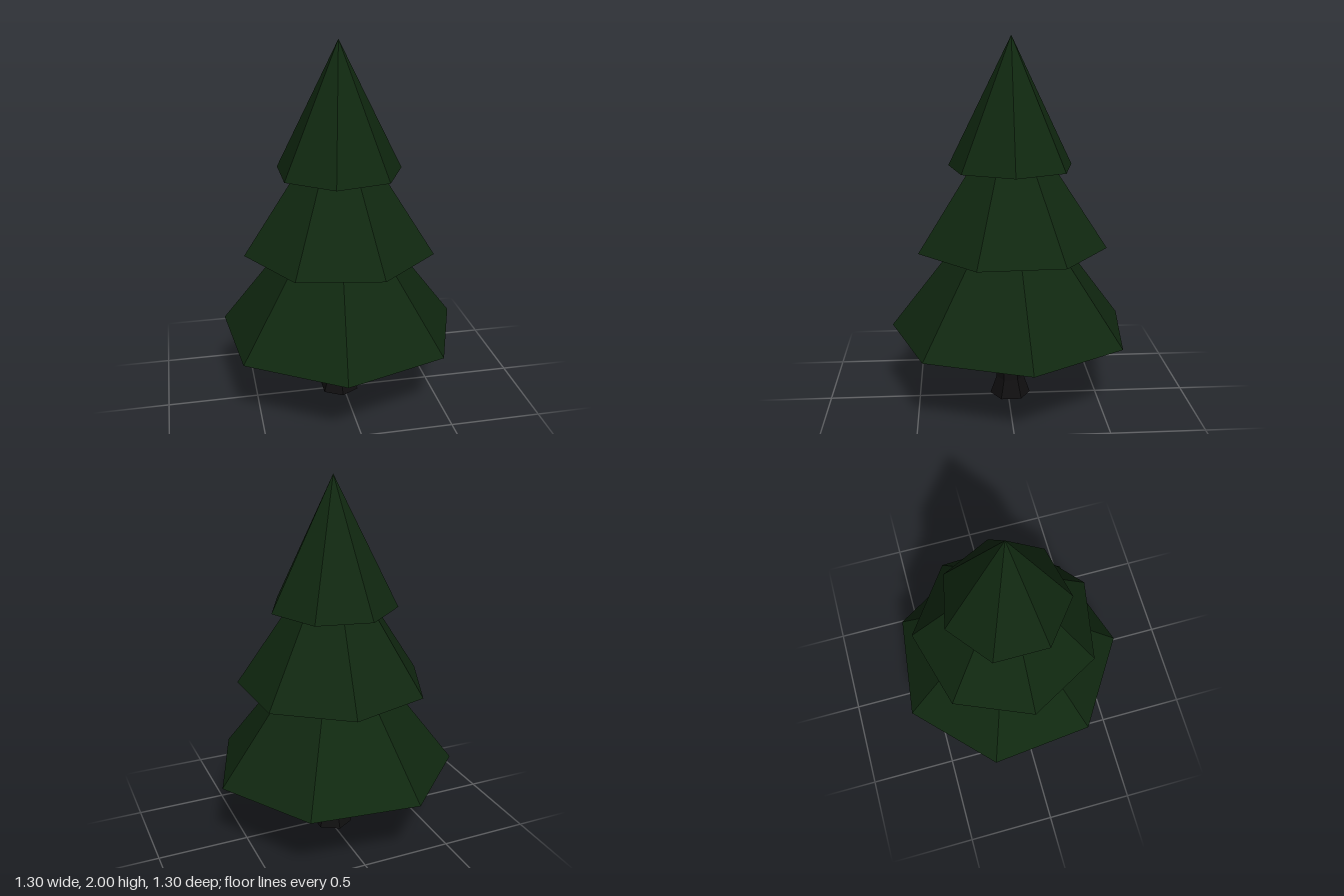
import * as THREE from 'three';

const green = new THREE.MeshStandardMaterial({ color: 0x102810, flatShading: true });
green.name = 'dark green needles';
const bark = new THREE.MeshStandardMaterial({ color: 0x100f10, flatShading: true });
bark.name = 'black bark';

// the tree's axis sits slightly off the origin
const AXIS_X = -0.02, AXIS_Z = -0.018;

// seven-sided solid cone of foliage, from its flat underside up to its tip
function tier(name, radius, bottom, tip, startDegrees) {
  const geometry = new THREE.ConeGeometry(radius, tip - bottom, 7, 1, false, THREE.MathUtils.degToRad(startDegrees));
  geometry.translate(AXIS_X, (bottom + tip) / 2, AXIS_Z);
  const mesh = new THREE.Mesh(geometry, green);
  mesh.name = name;
  return mesh;
}

// six-sided section of the trunk
function trunkSection(name, topRadius, bottomRadius, bottom, top) {
  const geometry = new THREE.CylinderGeometry(topRadius, bottomRadius, top - bottom, 6);
  geometry.translate(AXIS_X, (bottom + top) / 2, -0.013);
  const mesh = new THREE.Mesh(geometry, bark);
  mesh.name = name;
  return mesh;
}

export function createModel() {
  const tree = new THREE.Group();
  tree.name = 'pineTree';
  tree.add(
    trunkSection('trunkFoot', 0.077, 0.1125, 0, 0.1),
    trunkSection('trunk', 0.067, 0.077, 0.1, 0.42),
    tier('lowerBranches', 0.672, 0.395, 1.27, 95.7),
    tier('middleBranches', 0.522, 0.875, 1.66, 67.1),
    tier('topBranches', 0.345, 1.31, 2, 90)
  );
  return tree;
}
